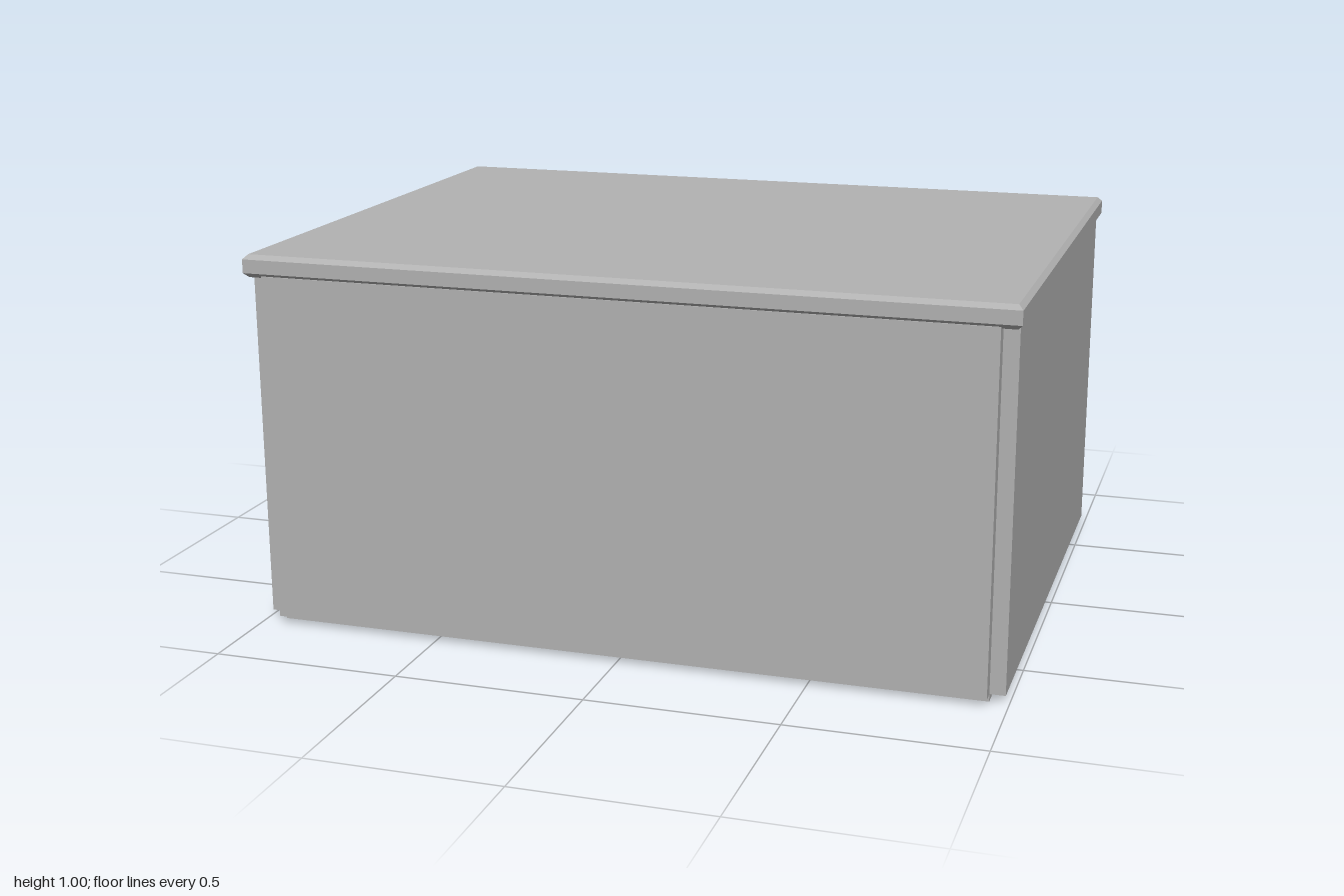
import * as THREE from 'three';

const grey = new THREE.MeshStandardMaterial({ color: 0xb2b2b2 });
grey.name = 'grey';

export function createModel() {
  const group = new THREE.Group();

  const add = (name, geometry) => {
    const mesh = new THREE.Mesh(geometry, grey);
    mesh.name = name;
    group.add(mesh);
    return mesh;
  };

  // box given by its lower and upper corners
  const slab = (name, [x0, y0, z0], [x1, y1, z1]) =>
    add(name, new THREE.BoxGeometry(x1 - x0, y1 - y0, z1 - z0))
      .position.set((x0 + x1) / 2, (y0 + y1) / 2, (z0 + z1) / 2);

  // box with every edge chamfered
  const chamfered = (name, [x0, y0, z0], [x1, y1, z1], c) => {
    const w = (x1 - x0) / 2 - c, d = (z1 - z0) / 2 - c;
    const shape = new THREE.Shape([[-w, -d], [w, -d], [w, d], [-w, d]]
      .map(([x, y]) => new THREE.Vector2(x, y)));
    const geometry = new THREE.ExtrudeGeometry(shape, {
      depth: y1 - y0 - 2 * c, bevelEnabled: true,
      bevelSize: c, bevelThickness: c, bevelSegments: 1,
    });
    geometry.rotateX(-Math.PI / 2);
    add(name, geometry).position.set((x0 + x1) / 2, y0 + c, (z0 + z1) / 2);
  };

  // lid and carcass, open at the back
  chamfered('lid', [-1, 0.94, -0.76], [1, 1, 0.76], 0.012);
  slab('floor', [-0.95, 0, -0.72], [0.95, 0.03, 0.72]);
  slab('frontPanel', [-0.95, 0.02, 0.685], [0.95, 0.945, 0.757]);
  slab('leftPanel', [0.917, 0.02, -0.72], [0.99, 0.945, 0.72]);
  slab('rightPanel', [-0.99, 0.02, -0.72], [-0.917, 0.945, 0.72]);

  // fittings inside, against the front panel
  chamfered('innerBox', [0.68, 0.03, 0.5], [0.915, 0.45, 0.685], 0.025);
  slab('innerFin', [0.17, 0.03, 0.53], [0.195, 0.45, 0.685]);

  return group;
}
